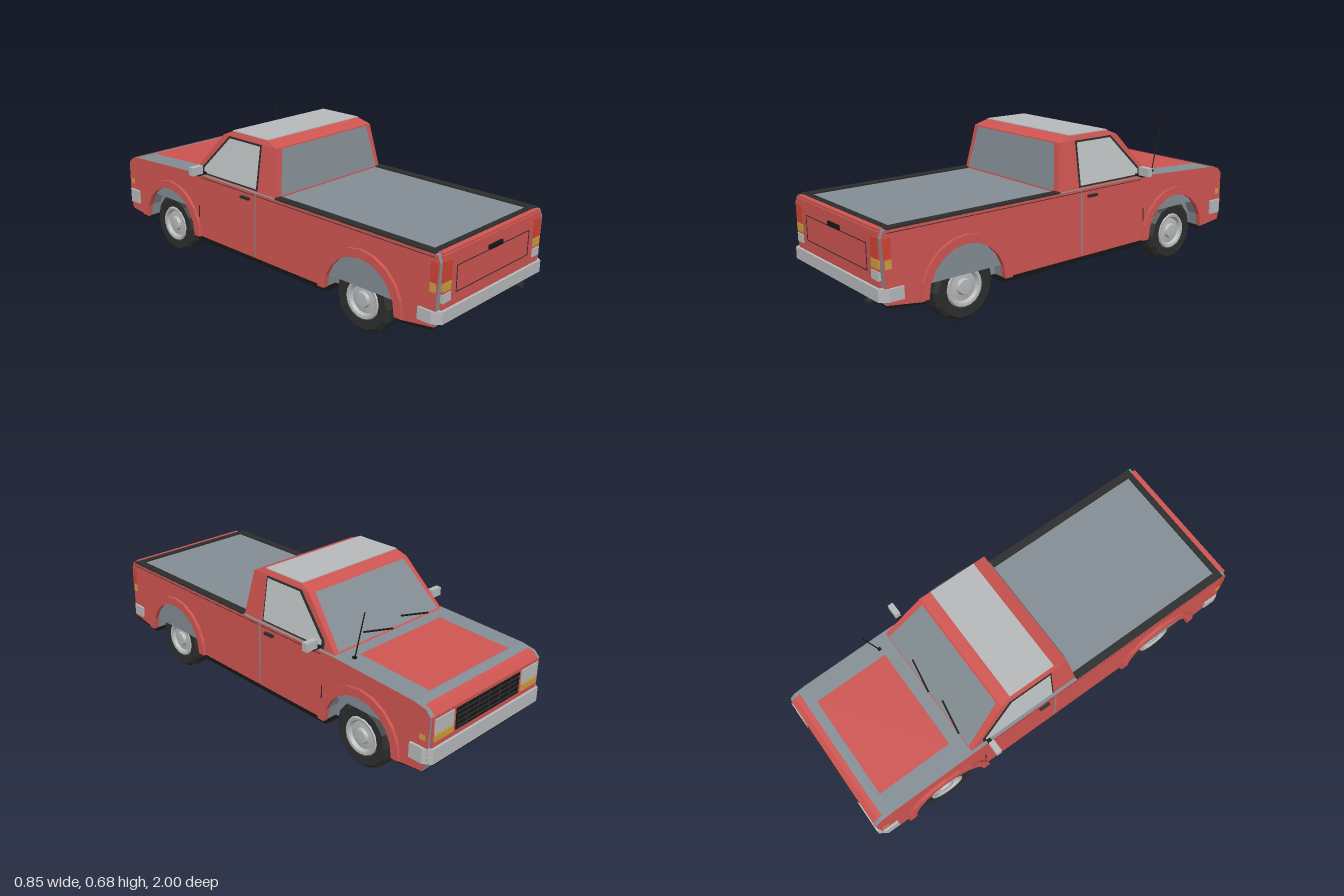
import * as THREE from 'three';
import { toCreasedNormals } from 'three/addons/utils/BufferGeometryUtils.js';
import { ConvexGeometry } from 'three/addons/geometries/ConvexGeometry.js';

const paint = (name, color) => new THREE.MeshStandardMaterial({ name, color, side: THREE.DoubleSide });
const V = (x, y, z) => new THREE.Vector3(x, y, z);

export function createModel() {
  const red = paint('bodyRed', 0xcd5450), grey = paint('panelGrey', 0x838d93);
  const chrome = paint('lightMetal', 0xb6b8b9), dark = paint('darkTrim', 0x2c2d2d);
  const black = paint('underbodyBlack', 0x161616), glass = paint('sideGlass', 0xbfc3c3);
  const amber = paint('amberLens', 0xc99c3c), lampRed = paint('redLens', 0xcc4432);
  const truck = new THREE.Group();
  truck.name = 'pickupTruck';

  const add = (name, geo, mat, parent = truck) => {
    const m = new THREE.Mesh(geo, mat);
    m.name = name;
    parent.add(m);
    return m;
  };
  // box given by its limits
  const box = (name, mat, x0, x1, y0, y1, z0, z1) =>
    add(name, new THREE.BoxGeometry(x1 - x0, y1 - y0, z1 - z0), mat)
      .position.set((x0 + x1) / 2, (y0 + y1) / 2, (z0 + z1) / 2);
  // flat convex face through a few points
  const face = (name, mat, pts) => {
    const fan = [];
    for (let i = 1; i < pts.length - 1; i++) fan.push(pts[0], pts[i], pts[i + 1]);
    const g = new THREE.BufferGeometry().setFromPoints(fan);
    g.computeVertexNormals();
    return add(name, g, mat);
  };
  // (z, y) outline extruded across x from x0 to x1
  const extrudeX = (pts, x0, x1) => {
    const shape = new THREE.Shape(pts.map(p => new THREE.Vector2(p[0], p[1])));
    return new THREE.ExtrudeGeometry(shape, { depth: x1 - x0, bevelEnabled: false })
      .rotateY(-Math.PI / 2).translate(x1, 0, 0);
  };
  const arc = (cz, r, a0, a1, n = 10) => Array.from({ length: n + 1 }, (_, i) => {
    const a = a0 + (a1 - a0) * i / n;
    return [cz + r * Math.cos(a), 0.145 + r * Math.sin(a)];
  });
  const rod = (name, mat, a, b, r) =>
    add(name, new THREE.TubeGeometry(new THREE.LineCurve3(a, b), 1, r, 6), mat);

  // lower body with wheel arches; sides lean inward towards the top
  const axles = [-0.63, 0.605];
  const bodyX = y => 0.362 - 0.03 * (y - 0.13);
  const body = extrudeX([
    [-0.965, 0.15], [-0.83, 0.135],
    ...arc(axles[0], 0.19, Math.PI, 0), ...arc(axles[1], 0.19, Math.PI, 0),
    [0.81, 0.135], [0.975, 0.16], [0.985, 0.42], [0.972, 0.45],
    [-0.47, 0.45], [-0.9, 0.428], [-0.96, 0.415], [-0.985, 0.39], [-0.98, 0.2],
  ], -1, 1);
  const p = body.attributes.position;
  for (let i = 0; i < p.count; i++) p.setX(i, p.getX(i) * bodyX(p.getY(i)));
  body.computeVertexNormals();
  add('body', body, [red, grey]);

  // underbody
  box('chassis', black, -0.245, 0.245, 0.12, 0.34, -0.85, 0.82);
  add('floorFront', extrudeX([[-0.965, 0.145], [-0.825, 0.122], [-0.825, 0.15], [-0.965, 0.18]], -0.355, 0.355), black);
  add('floorMiddle', extrudeX([[-0.44, 0.122], [0.415, 0.122], [0.415, 0.145], [-0.44, 0.145]], -0.358, 0.358), black);
  add('floorRear', extrudeX([[0.8, 0.122], [0.965, 0.145], [0.965, 0.18], [0.8, 0.15]], -0.358, 0.358), black);
  const pipe = add('exhaustPipe', new THREE.CylinderGeometry(0.014, 0.014, 0.16, 10).rotateX(Math.PI / 2), dark);
  pipe.position.set(0.23, 0.143, 0.91);

  // wheels, arch flares and well panels
  const tyreGeo = toCreasedNormals(new THREE.LatheGeometry([
    [0, -0.04], [0.085, -0.04], [0.09, -0.05], [0.128, -0.05], [0.145, -0.034],
    [0.145, 0.034], [0.128, 0.05], [0.09, 0.048], [0.084, 0.03],
  ].map(q => new THREE.Vector2(...q)), 14).rotateZ(-Math.PI / 2), 0.3);
  const rimGeo = toCreasedNormals(new THREE.LatheGeometry([
    [0.088, 0.04], [0.082, 0.05], [0.07, 0.048], [0.062, 0.034], [0.036, 0.038], [0.03, 0.05], [0, 0.052],
  ].map(q => new THREE.Vector2(...q)), 20).rotateZ(-Math.PI / 2), 0.5);
  for (const s of [1, -1]) {
    axles.forEach((z, i) => {
      const wheel = new THREE.Group();
      wheel.name = i ? 'tailWheel' : 'noseWheel';
      wheel.position.set(s * 0.3, 0.145, z);
      if (s < 0) wheel.rotation.y = Math.PI;
      add('tyre', tyreGeo, dark, wheel);
      add('rim', rimGeo, chrome, wheel);
      truck.add(wheel);

      const flare = extrudeX([...arc(z, 0.225, 0, Math.PI), ...arc(z, 0.188, Math.PI, 0)], 0, 0.024);
      const f = flare.attributes.position;
      for (let k = 0; k < f.count; k++) f.setX(k, s * (bodyX(f.getY(k)) - 0.01 + f.getX(k)));
      if (s < 0) { // restore corner order after mirroring
        for (let k = 0; k < f.count; k += 3) {
          const a = V().fromBufferAttribute(f, k), b = V().fromBufferAttribute(f, k + 1);
          f.setXYZ(k, b.x, b.y, b.z);
          f.setXYZ(k + 1, a.x, a.y, a.z);
        }
      }
      flare.computeVertexNormals();
      add('archFlare', flare, red);

      const cut = Math.asin(((i ? 0.2 : 0.27) - 0.145) / 0.19);
      face('archCover', grey, arc(z, 0.192, cut, Math.PI - cut).map(q => V(s * 0.353, q[1], q[0])));
      face('wellPanel', grey, arc(z, 0.192, 0, Math.PI).map(q => V(s * 0.3, q[1], q[0])));
    });
  }

  // cab shell
  const cabX = y => 0.338 - 0.033 * (y - 0.45) / 0.21;
  const backZ = y => 0.1 - 0.035 * (y - 0.45) / 0.21;
  const screenZ = y => -0.47 + 0.19 * (y - 0.45) / 0.21;
  const cab = [];
  for (const s of [1, -1]) {
    for (const [x, y, z] of [[0.338, 0.45, 0.1], [0.305, 0.66, 0.065], [0.295, 0.682, 0],
      [0.295, 0.682, -0.23], [0.305, 0.66, -0.28], [0.338, 0.45, -0.47]]) cab.push(V(s * x, y, z));
  }
  add('cab', new ConvexGeometry(cab), red);
  box('roofPanel', chrome, -0.294, 0.294, 0.68, 0.686, -0.23, 0);
  const pane = (name, zAt, off, low, high) => face(name, grey, [[-low, 0.458], [low, 0.458], [high, 0.656], [-high, 0.656]]
    .map(([x, y]) => V(x, y, zAt(y) + off)));
  pane('rearWindow', backZ, 0.004, 0.312, 0.274);
  pane('windscreen', screenZ, -0.005, 0.315, 0.275);
  for (const x of [-0.245, -0.01]) {
    rod('wiper', black, V(x, 0.458, screenZ(0.458) - 0.008), V(x + 0.16, 0.485, screenZ(0.485) - 0.008), 0.004);
  }

  // mirrored side details
  for (const s of [1, -1]) {
    const onSide = (name, mat, xAt, off, pts) => face(name, mat, pts.map(([z, y]) => V(s * (xAt(y) + off), y, z)));
    const strip = (name, mat, z0, z1, y0, y1, off = 0.003) =>
      onSide(name, mat, bodyX, off, [[z0, y0], [z1, y0], [z1, y1], [z0, y1]]);
    onSide('windowSeal', dark, cabX, 0.002, [[-0.022, 0.455], [-0.022, 0.66], [-0.24, 0.66], [-0.405, 0.49], [-0.405, 0.455]]);
    onSide('sideWindow', glass, cabX, 0.005, [[-0.03, 0.463], [-0.03, 0.652], [-0.232, 0.652], [-0.39, 0.488], [-0.39, 0.463]]);
    strip('doorSeam', grey, -0.025, -0.017, 0.16, 0.45);
    strip('fenderVent', dark, -0.418, -0.411, 0.24, 0.3);
    strip('bodyCrease', dark, -0.4, 0.96, 0.437, 0.44, 0.002);
    strip('tailSideLamp', lampRed, 0.945, 0.98, 0.34, 0.42);
    strip('tailSideAmber', amber, 0.945, 0.975, 0.3, 0.337);
    strip('noseSideAmber', amber, -0.97, -0.94, 0.285, 0.31);
    const bx = (name, mat, x0, x1, ...r) => box(name, mat, Math.min(s * x0, s * x1), Math.max(s * x0, s * x1), ...r);
    bx('doorHandle', dark, 0.35, 0.366, 0.41, 0.421, -0.112, -0.058);
    bx('mirrorStalk', black, 0.325, 0.39, 0.458, 0.468, -0.392, -0.372);
    bx('mirror', chrome, 0.365, 0.425, 0.466, 0.505, -0.395, -0.368);
    bx('bedRail', dark, 0.315, 0.352, 0.445, 0.457, 0.1, 0.955);

    // tail lamps, headlamps and indicators
    bx('tailLamp', lampRed, 0.285, 0.336, 0.341, 0.422, 0.97, 0.992);
    bx('tailIndicator', amber, 0.285, 0.336, 0.3, 0.334, 0.97, 0.992);
    bx('reverseLamp', chrome, 0.285, 0.336, 0.253, 0.29, 0.97, 0.992);
    bx('headlamp', chrome, 0.222, 0.335, 0.314, 0.378, -0.994, -0.97);
    bx('noseIndicator', amber, 0.222, 0.335, 0.28, 0.308, -0.994, -0.97);
  }

  // tailgate
  box('bedEndRail', dark, -0.352, 0.352, 0.445, 0.457, 0.93, 0.958);
  box('tailgateTop', red, -0.33, 0.33, 0.44, 0.454, 0.958, 0.982);
  box('tailgate', red, -0.336, 0.336, 0.22, 0.445, 0.972, 0.988);
  for (const y of [0.275, 0.384]) box('tailgateGroove', dark, -0.25, 0.25, y - 0.0015, y + 0.0015, 0.98, 0.99);
  for (const x of [-0.249, 0.249]) box('tailgateGroove', dark, x - 0.0015, x + 0.0015, 0.275, 0.384, 0.98, 0.99);
  box('tailgateHandle', black, -0.045, 0.045, 0.387, 0.406, 0.98, 0.997);

  // bonnet
  const hoodY = z => 0.45 + 0.022 * (z + 0.47) / 0.43;
  face('bonnetPanel', red, [[-0.255, -0.53], [0.255, -0.53], [0.255, -0.895], [-0.255, -0.895]]
    .map(([x, z]) => V(x, hoodY(z) + 0.004, z)));
  face('bonnetLip', red, [V(-0.335, 0.423, -0.94), V(0.335, 0.423, -0.94), V(0.335, 0.415, -0.965), V(-0.335, 0.415, -0.965)]);
  face('bonnetEdge', red, [V(-0.335, 0.418, -0.963), V(0.335, 0.418, -0.963), V(0.335, 0.391, -0.988), V(-0.335, 0.391, -0.988)]);

  // nose and grille
  box('nosePanel', red, -0.345, 0.345, 0.25, 0.39, -0.989, -0.972);
  box('grille', black, -0.205, 0.205, 0.28, 0.375, -0.993, -0.97);
  for (let i = 0; i < 4; i++) box('grilleBar', dark, -0.2, 0.2, 0.292 + i * 0.022, 0.297 + i * 0.022, -0.996, -0.98);
  for (let i = -2; i <= 2; i++) box('grilleRib', dark, i * 0.07 - 0.002, i * 0.07 + 0.002, 0.283, 0.372, -0.996, -0.98);

  // wrap-around bumpers
  for (const [name, s, y, h] of [['tailBumper', 1, 0.173, 0.052], ['noseBumper', -1, 0.188, 0.067]]) {
    const plan = [[-0.37, 0.9], [-0.37, 0.965], [-0.345, 1], [0.345, 1], [0.37, 0.965], [0.37, 0.9]];
    const shape = new THREE.Shape(plan.map(([x, z]) => new THREE.Vector2(x, -s * z)));
    add(name, new THREE.ExtrudeGeometry(shape, { depth: h, bevelEnabled: false })
      .rotateX(-Math.PI / 2).translate(0, y, 0), chrome);
  }

  // aerial
  rod('aerial', black, V(0.293, 0.44, -0.535), V(0.293, 0.665, -0.585), 0.0025);
  box('aerialBase', black, 0.286, 0.3, 0.44, 0.455, -0.543, -0.528);
  return truck;
}
